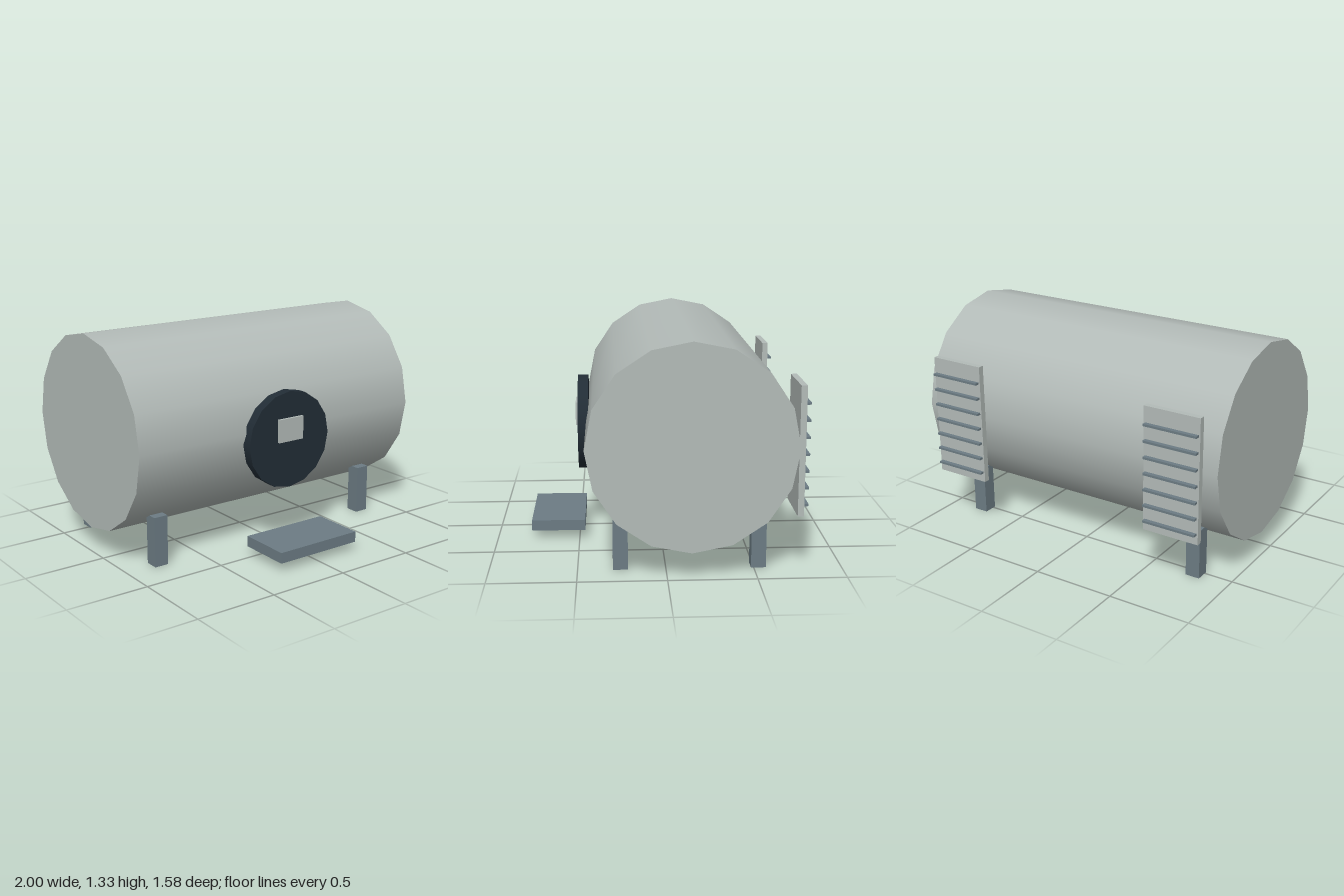
import * as THREE from 'three';

const material = (name, color) => {
  const m = new THREE.MeshStandardMaterial({ color });
  m.name = name;
  return m;
};

export function createModel() {
  const root = new THREE.Group();
  root.name = 'storageTank';
  const paleGrey = material('paleGrey', 0xb3bbb8);
  const slate = material('slate', 0x6c7c84);
  const darkNavy = material('darkNavy', 0x222d36);

  const add = (name, geometry, mat, x, y, z, parent = root) => {
    const mesh = new THREE.Mesh(geometry, mat);
    mesh.name = name;
    mesh.position.set(x, y, z);
    parent.add(mesh);
    return mesh;
  };
  const box = (w, h, d) => new THREE.BoxGeometry(w, h, d);

  // Horizontal tank body
  const body = new THREE.CylinderGeometry(0.586, 0.586, 2, 16).rotateZ(Math.PI / 2);
  add('tankBody', body, paleGrey, 0, 0.741, -0.135);

  // Round hatch with its plate, and the step below
  const hatch = new THREE.CylinderGeometry(0.295, 0.295, 0.062, 16).rotateX(Math.PI / 2);
  add('hatch', hatch, darkNavy, 0, 0.677, 0.47);
  add('hatchPlate', box(0.178, 0.14, 0.03), paleGrey, 0, 0.742, 0.503);
  add('step', box(0.565, 0.065, 0.325), slate, 0, 0.088, 0.627);

  for (const side of [-1, 1]) {
    // Legs
    for (const z of [0.258, -0.527]) {
      add('leg', box(0.087, 0.304, 0.085), slate, side * 0.78, 0.152, z);
    }
    // Rear panel with seven slats
    const vent = new THREE.Group();
    vent.name = 'rearVent';
    vent.position.set(side * 0.74, 0.7, 0);
    root.add(vent);
    add('ventPanel', box(0.347, 0.74, 0.035), paleGrey, 0, 0, -0.744, vent);
    for (let i = 0; i < 7; i++) {
      add('slat', box(0.328, 0.013, 0.028), slate, 0, -0.308 + i * 0.096, -0.773, vent);
    }
  }
  return root;
}
